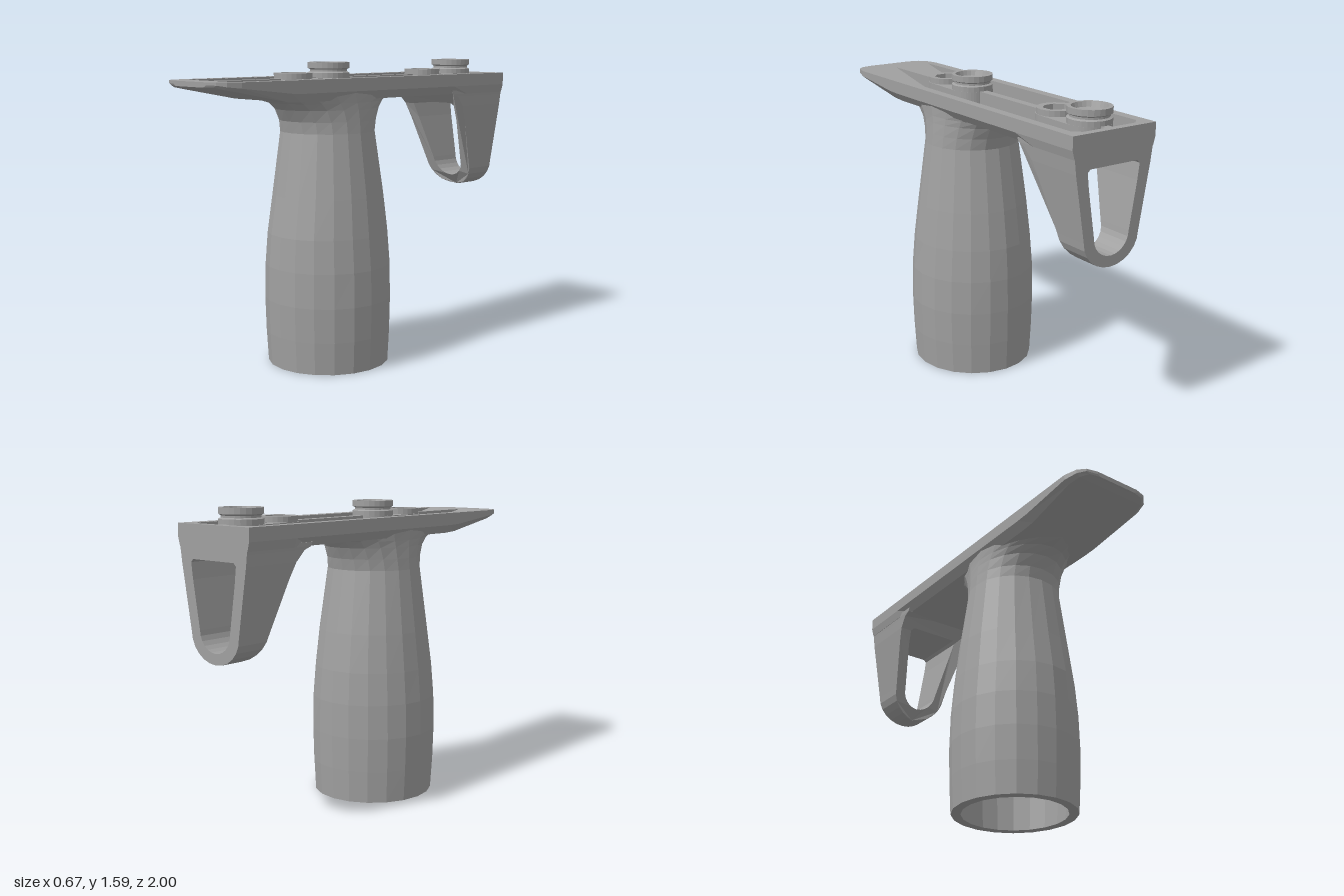
import * as THREE from 'three';

const TOP = 1.51, FLOOR = 1.44;

// Skin a list of equal-length cross-sections
function loft(rings, { closed = false, capStart = false, capEnd = false } = {}) {
  const n = rings[0].length, idx = [];
  for (let i = 0; i < rings.length - 1; i++) {
    for (let j = 0; j < (closed ? n : n - 1); j++) {
      const a = i * n + j, b = i * n + (j + 1) % n;
      idx.push(a, b, b + n, a, b + n, a + n);
    }
  }
  const last = (rings.length - 1) * n;
  for (let j = 1; j < n - 1; j++) {
    if (capStart) idx.push(0, j + 1, j);
    if (capEnd) idx.push(last, last + j, last + j + 1);
  }
  const g = new THREE.BufferGeometry();
  g.setAttribute('position', new THREE.Float32BufferAttribute(rings.flat(2), 3));
  g.setIndex(idx);
  g.computeVertexNormals();
  return g;
}

// Horizontal slab from a shape drawn in (x, z), extruded downwards from y
function slab(shape, y, depth) {
  const g = depth
    ? new THREE.ExtrudeGeometry(shape, { depth, bevelEnabled: false, curveSegments: 12 })
    : new THREE.ShapeGeometry(shape, 12);
  return g.rotateX(Math.PI / 2).translate(0, y, 0);
}

const poly = pts => new THREE.Shape(pts.map(p => new THREE.Vector2(...p)));

export function createModel() {
  const group = new THREE.Group();
  const grey = new THREE.MeshStandardMaterial({ color: 0xa0a0a0, flatShading: true, side: THREE.DoubleSide });
  grey.name = 'grey';
  const add = (name, geometry) => {
    const m = new THREE.Mesh(geometry, grey);
    m.name = name;
    group.add(m);
    return m;
  };

  // Hollow oval grip flaring into the rail: y, half width, front z, back z
  const rows = [
    [0, 0.32, 0.46, -0.19], [0.17, 0.33, 0.47, -0.197], [0.35, 0.335, 0.475, -0.2],
    [0.53, 0.33, 0.472, -0.197], [0.7, 0.315, 0.46, -0.185], [0.9, 0.293, 0.43, -0.16],
    [1.23, 0.25, 0.385, -0.11], [1.29, 0.245, 0.397, -0.125], [1.35, 0.24, 0.435, -0.155],
    [1.385, 0.238, 0.485, -0.19], [1.405, 0.238, 0.57, -0.25]];
  const oval = (y, hx, zf, zb, lift = 0) => Array.from({ length: 20 }, (_, i) => {
    const a = i / 20 * Math.PI * 2;
    return [hx * Math.sin(a), y + lift * Math.sin(a) ** 2, (zf + zb) / 2 + (zf - zb) / 2 * Math.cos(a)];
  });
  const outer = rows.map((r, i) => oval(...r, i === rows.length - 1 ? 0.035 : 0));
  const inner = rows.slice(0, 9).map(([y, hx, zf, zb]) => oval(y, hx - 0.05, zf - 0.05, zb + 0.05));
  inner.push(oval(1.4, 0.185, 0.38, -0.1));
  add('grip', loft([...inner.reverse(), ...outer], { closed: true }));

  // Rail shell: z, half width, bottom y, lower corner inset
  const sections = [
    [1, 0.13, 1.485, 0.02], [0.985, 0.19, 1.487, 0.02], [0.95, 0.225, 1.49 - 0.015, 0.02],
    [0.88, 0.245, 1.462, 0.025], [0.58, 0.245, 1.405, 0.035], [0.5, 0.245, 1.4, 0.035],
    [-0.58, 0.245, 1.4, 0.035], [-0.7, 0.245, 1.4, 0.012], [-1, 0.245, 1.4, 0.012]];
  add('railBody', loft(sections.map(([z, w, yb, inset]) => {
    const ym = yb + (TOP - yb) * 0.4;
    return [[w, TOP, z], [w, ym, z], [w - inset, yb, z], [inset - w, yb, z], [-w, ym, z], [-w, TOP, z]];
  }), { capStart: true, capEnd: true }));

  // Flat rim around the top channel
  const side = sections.map(([z, w]) => [w, z]);
  const rim = poly([...side, ...side.slice().reverse().map(([x, z]) => [-x, z])]);
  rim.holes.push(poly([[-0.195, 0.89], [0.195, 0.89], [0.195, -0.92], [0.155, -0.96], [-0.155, -0.96], [-0.195, -0.92]]));
  add('rim', slab(rim, TOP, 0));

  // Channel floor with an oval pocket, and a ramp rising to the front
  const floor = poly([[-0.2, 0.55], [0.2, 0.55], [0.2, -0.965], [-0.2, -0.965]]);
  floor.holes.push(new THREE.Path().absellipse(0, 0.115, 0.17, 0.355, 0, Math.PI * 2));
  add('channelFloor', slab(floor, FLOOR, 0));
  add('frontRamp', loft([[[-0.2, FLOOR, 0.55], [0.2, FLOOR, 0.55]], [[-0.195, TOP, 0.89], [0.195, TOP, 0.89]]]));
  add('pocketWall', loft([oval(FLOOR, 0.17, 0.47, -0.24), oval(1.403, 0.14, 0.45, -0.17)], { closed: true }));

  // Channel walls and centre rib, running out at the ramp
  const runner = (name, x, width, top) => {
    const s = poly([[-0.965, FLOOR], [0.55, FLOOR], [0.885, top], [-0.965, top]]);
    const g = new THREE.ExtrudeGeometry(s, { depth: width, bevelEnabled: false });
    add(name, g.rotateY(-Math.PI / 2).translate(x + width / 2, 0, 0));
  };
  runner('leftWall', 0.2, 0.01, TOP - 0.001);
  runner('rightWall', -0.2, 0.01, TOP - 0.001);
  runner('centreRib', 0, 0.045, TOP - 0.002);
  const back = poly([[-0.195, -0.965], [-0.195, -0.92], [-0.155, -0.96], [0.155, -0.96], [0.195, -0.92], [0.195, -0.965]]);
  add('backWall', slab(back, TOP - 0.001, 0.07));

  // Two fastener sets: boss, collar with eight-sided socket, and dished button
  const octagon = z => poly(Array.from({ length: 8 }, (_, i) => {
    const a = (i + 0.5) / 8 * Math.PI * 2;
    return [0.07 * Math.cos(a), z + 0.065 * Math.sin(a)];
  }));
  const buttonProfile = [
    [0, 1.545], [0.042, 1.545], [0.046, 1.555], [0.08, 1.56], [0.088, 1.585], [0.108, 1.585],
    [0.108, 1.555], [0.096, 1.548], [0.096, 1.538], [0.108, 1.532], [0.108, FLOOR]]
    .map(p => new THREE.Vector2(...p));
  for (const [label, z] of [['front', 0.13], ['rear', -0.82]]) {
    const boss = new THREE.Shape();
    boss.absarc(0, z, 0.108, Math.PI, Math.PI * 2);
    boss.absarc(0, z + 0.24, 0.102, 0, Math.PI);
    boss.closePath();
    boss.holes.push(octagon(z + 0.24));
    add(label + 'Boss', slab(boss, TOP - 0.004, 0.1));
    const collar = new THREE.Shape();
    collar.absarc(0, z + 0.24, 0.098, 0, Math.PI * 2);
    collar.holes.push(octagon(z + 0.24));
    add(label + 'Collar', slab(collar, 1.535, 0.03));
    add(label + 'Button', new THREE.LatheGeometry(buttonProfile, 24).translate(0, 0, z));
  }

  // Rear loop: tapered U with an opening, its front face following a curve in y
  const mirror = pts => poly([...pts, ...pts.slice(0, -1).reverse().map(([x, y]) => [-x, y])]);
  const arc = (rx, yc, ry) => Array.from({ length: 7 }, (_, i) => {
    const a = i / 6 * Math.PI / 2;
    return [rx * Math.cos(a), yc - ry * Math.sin(a)];
  });
  const loop = mirror([[0.232, 1.42], [0.231, 1.4], [0.229, 1.385], [0.222, 1.33], [0.208, 1.25], ...arc(0.165, 1.0, 0.145)]);
  loop.holes.push(mirror([[0.14, 1.345], [0.155, 1.33], [0.145, 1.25], ...arc(0.105, 1.01, 0.1)]));
  const curve = [[0.855, -0.89], [0.87, -0.86], [0.92, -0.835], [1.25, -0.715], [1.33, -0.68], [1.385, -0.63], [1.4, -0.59], [1.42, -0.58]];
  const frontZ = y => {
    const k = Math.max(1, curve.findIndex(c => c[0] >= y - 1e-5));
    const [y0, z0] = curve[k - 1], [y1, z1] = curve[k];
    return z0 + (z1 - z0) * (y - y0) / (y1 - y0);
  };
  const loopGeometry = new THREE.ExtrudeGeometry(loop, { depth: 1, bevelEnabled: false });
  const p = loopGeometry.attributes.position;
  for (let i = 0; i < p.count; i++) p.setZ(i, p.getZ(i) > 0.5 ? frontZ(p.getY(i)) : -1);
  loopGeometry.computeVertexNormals();
  add('rearLoop', loopGeometry);

  return group;
}
